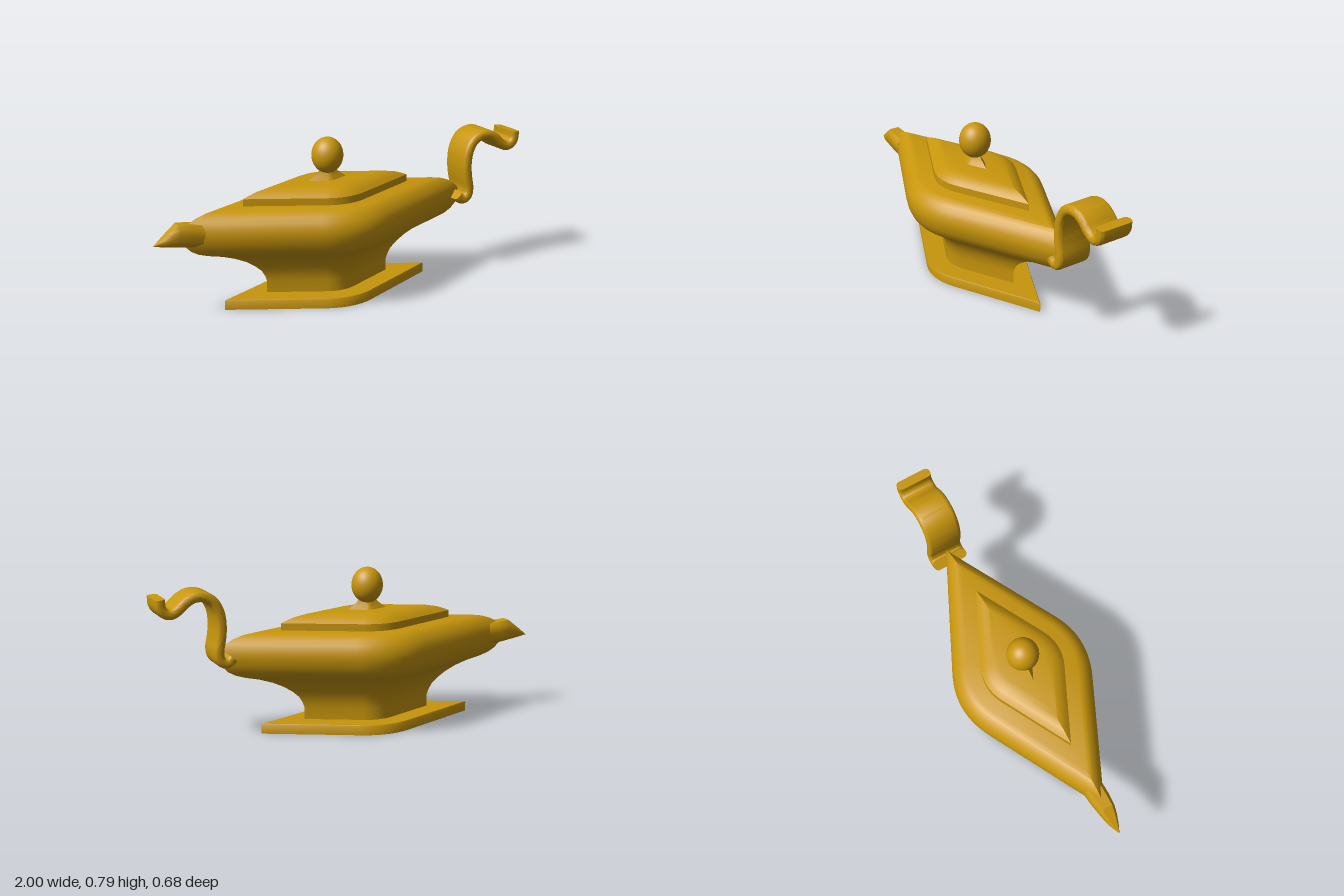
import * as THREE from 'three';
import { toCreasedNormals } from 'three/addons/utils/BufferGeometryUtils.js';

const CX = -0.09; // middle of the lamp body
const gold = new THREE.MeshStandardMaterial({ color: 0xc8960c });
const V = (x, y, z) => new THREE.Vector3(x, y, z);

// Closed skin over rings of points (right-handed around the path), capped at both ends
function loft(name, rings, crease = 0.6) {
  const mid = (r) => {
    const c = r.reduce((s, p) => s.add(p), V(0, 0, 0)).divideScalar(r.length);
    return r.map(() => c);
  };
  const all = [mid(rings[0]), ...rings, mid(rings[rings.length - 1])];
  const n = rings[0].length;
  const pos = [];
  const tri = (a, b, c) => {
    if (a.distanceTo(b) < 1e-6 || b.distanceTo(c) < 1e-6 || c.distanceTo(a) < 1e-6) return;
    for (const p of [a, b, c]) pos.push(p.x, p.y, p.z);
  };
  for (let i = 0; i < all.length - 1; i++) {
    for (let j = 0; j < n; j++) {
      const k = (j + 1) % n;
      const a = all[i][j], b = all[i][k], c = all[i + 1][k], d = all[i + 1][j];
      tri(a, b, c);
      tri(a, c, d);
    }
  }
  const geo = new THREE.BufferGeometry();
  geo.setAttribute('position', new THREE.Float32BufferAttribute(pos, 3));
  const mesh = new THREE.Mesh(toCreasedNormals(geo, crease), gold);
  mesh.name = name;
  return mesh;
}

// Lozenge outline of half width 1: sharp tips on x, rounded corners on z
const TIP = 2.27;
const outline = new THREE.Shape();
outline.moveTo(TIP, 0);
outline.lineTo(0.53, 0.866);
outline.quadraticCurveTo(0, 1.13, -0.53, 0.866);
outline.lineTo(-TIP, 0);
outline.lineTo(-0.53, -0.866);
outline.quadraticCurveTo(0, -1.13, 0.53, -0.866);
outline.closePath();
const lozenge = outline.getPoints(14).slice(0, -1);

// Stack of lozenges from [half width, height] pairs
const lozengeStack = (name, profile) =>
  loft(name, profile.map(([w, y]) => lozenge.map((p) => V(CX + p.x * w, y, -p.y * w))));

// Rounded band swept along a curve in the xy plane
function band(name, points, halfThick, halfWidth, radius, zMid) {
  const curve = new THREE.CatmullRomCurve3(points.map(([x, y]) => V(x, y, zMid)));
  const section = [];
  for (const [sn, sz, start] of [[1, 1, 0], [-1, 1, 1], [-1, -1, 2], [1, -1, 3]]) {
    for (let k = 0; k <= 5; k++) {
      const a = (start + k / 5) * Math.PI / 2;
      section.push([sn * (halfThick - radius) + radius * Math.cos(a),
        sz * (halfWidth - radius) + radius * Math.sin(a)]);
    }
  }
  const rings = [];
  for (let i = 0; i <= 70; i++) {
    const p = curve.getPointAt(i / 70), t = curve.getTangentAt(i / 70);
    rings.push(section.map(([n, z]) => V(p.x - t.y * n, p.y + t.x * n, p.z + z)));
  }
  return loft(name, rings, 0.8);
}

export function createModel() {
  const group = new THREE.Group();
  group.name = 'oilLamp';

  // Foot plate
  group.add(lozengeStack('foot', [[0.247, 0], [0.247, 0.045], [0.244, 0.05]]));

  // Waist flaring into the rounded bowl
  group.add(lozengeStack('bowl', [
    [0.148, 0.045], [0.148, 0.11], [0.152, 0.135], [0.16, 0.165], [0.175, 0.195],
    [0.195, 0.224], [0.22, 0.25], [0.25, 0.272], [0.28, 0.287], [0.302, 0.302],
    [0.319, 0.323], [0.332, 0.353], [0.34, 0.39], [0.34, 0.41], [0.336, 0.435],
    [0.325, 0.46], [0.306, 0.483], [0.286, 0.498], [0.263, 0.506]]));

  // Stepped lid with a small collar under the knob
  group.add(lozengeStack('lid', [
    [0.2, 0.5], [0.2, 0.541], [0.186, 0.554], [0.17, 0.566], [0.142, 0.578], [0.112, 0.583]]));
  group.add(lozengeStack('knobCollar', [[0.047, 0.58], [0.035, 0.598], [0.024, 0.617], [0.018, 0.64]]));

  // Egg-shaped knob
  const knob = new THREE.Mesh(new THREE.SphereGeometry(0.078, 40, 28), gold);
  knob.name = 'knob';
  knob.scale.y = 1.14;
  knob.position.set(CX, 0.701, 0);
  group.add(knob);

  // Pointed spout with a sloping mouth: [x, bottom, top, half width]
  const section = [[1, 0.55], [0.92, 0.82], [0.6, 1], [0, 1], [-0.6, 1], [-0.92, 0.82],
    [-1, 0.55], [-0.8, 0.22], [-0.4, 0.04], [0, 0], [0.4, 0.04], [0.8, 0.22]];
  const spout = [[-0.76, 0.34, 0.455, 0.052], [-0.82, 0.348, 0.463, 0.05], [-0.88, 0.357, 0.47, 0.043],
    [-0.92, 0.364, 0.44, 0.034], [-0.96, 0.371, 0.41, 0.02], [-1, 0.378, 0.38, 0.001]];
  group.add(loft('spout', spout.map(([x, lo, hi, w]) =>
    section.map(([z, y]) => V(x, lo + (hi - lo) * y, z * w)))));

  // Wavy handle
  group.add(band('handle', [
    [0.632, 0.408], [0.648, 0.39], [0.672, 0.386], [0.693, 0.402], [0.7, 0.44], [0.69, 0.5],
    [0.685, 0.56], [0.694, 0.63], [0.724, 0.685], [0.765, 0.708], [0.81, 0.709], [0.85, 0.69],
    [0.89, 0.655], [0.925, 0.637], [0.955, 0.645], [0.973, 0.67], [0.976, 0.71]],
  0.025, 0.0915, 0.022, -0.003));

  return group;
}
